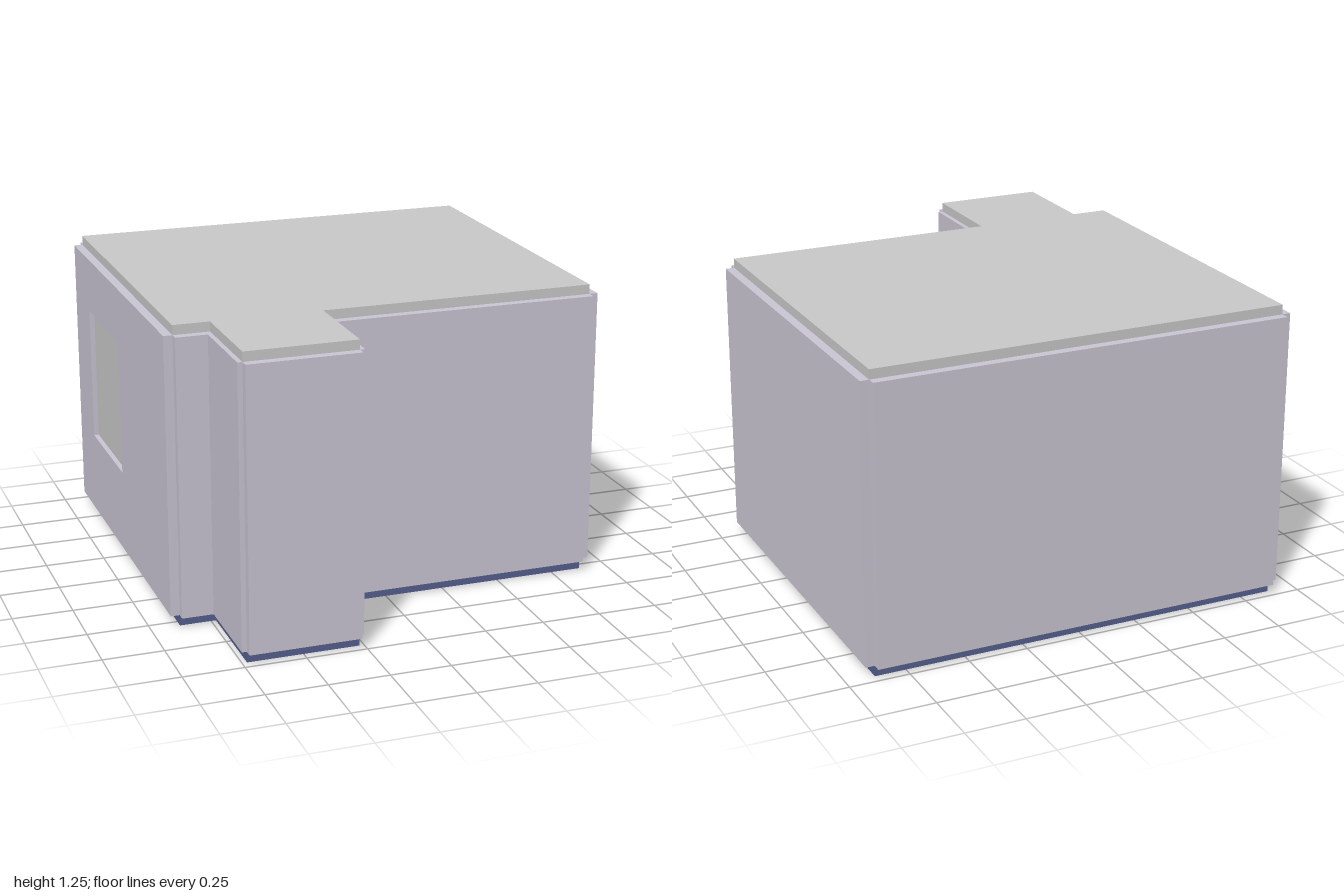
import * as THREE from 'three';

const W = 0.88, BACK = -0.96, FRONT = 0.54;       // main room
const BAY_L = -0.73, BAY_R = -0.27, BAY_Z = 0.96; // projecting bay
const Y0 = 0.045, Y1 = 1.21, TOP = 1.25;          // wall bottom, wall top, roof top
const T = 0.037;                                  // wall thickness

const wallMat = new THREE.MeshStandardMaterial({ color: 0xcdc8d6 });
const floorMat = new THREE.MeshStandardMaterial({ color: 0x56618f });
const roofMat = new THREE.MeshStandardMaterial({ color: 0xcccccc });

function createMesh(name, geometry, material) {
  const mesh = new THREE.Mesh(geometry, material);
  mesh.name = name;
  return mesh;
}

// Horizontal slab in the shape of the floor plan
function slab(name, y0, y1, material) {
  const plan = [
    [-W, FRONT], [BAY_L, FRONT], [BAY_L, BAY_Z], [BAY_R, BAY_Z],
    [BAY_R, FRONT], [W, FRONT], [W, BACK], [-W, BACK],
  ];
  const shape = new THREE.Shape(plan.map(([x, z]) => new THREE.Vector2(x, -z)));
  const geo = new THREE.ExtrudeGeometry(shape, { depth: y1 - y0, bevelEnabled: false });
  geo.rotateX(-Math.PI / 2).translate(0, y0, 0);
  return createMesh(name, geo, material);
}

// Wall panel filling a rectangle of the plan
function wall(name, x0, x1, z0, z1) {
  const geo = new THREE.BoxGeometry(x1 - x0, Y1 - Y0, z1 - z0);
  geo.translate((x0 + x1) / 2, (Y0 + Y1) / 2, (z0 + z1) / 2);
  return createMesh(name, geo, wallMat);
}

function rectPath(PathType, a0, b0, a1, b1) {
  const p = new PathType();
  p.moveTo(a0, b0);
  p.lineTo(a1, b0);
  p.lineTo(a1, b1);
  p.lineTo(a0, b1);
  p.closePath();
  return p;
}

export function createModel() {
  const model = new THREE.Group();
  model.name = 'room';

  model.add(slab('floor', 0, Y0, floorMat), slab('roof', Y1, TOP, roofMat));

  // Plain panels stand outside the slabs, leaving the corners notched
  model.add(
    wall('backWall', -W, W, BACK - T, BACK),
    wall('leftWall', W, W + T, BACK, FRONT),
    wall('frontWallLong', BAY_R, W, FRONT, FRONT + T),
    wall('frontWallShort', -W, BAY_L, FRONT, FRONT + T),
    wall('bayLeftWall', BAY_R, BAY_R + 0.02, FRONT, BAY_Z),
    wall('bayRightWall', BAY_L - 0.02, BAY_L, FRONT, BAY_Z),
    wall('bayFrontWall', BAY_L, BAY_R, BAY_Z, BAY_Z + T),
  );

  // Right wall with a window opening, drawn in (z, y) and turned to face -x
  const win = { z0: -0.71, z1: -0.2, y0: 0.4, y1: 0.975 };
  const panel = rectPath(THREE.Shape, BACK, Y0, FRONT, Y1);
  panel.holes.push(rectPath(THREE.Path, win.z0, win.y0, win.z1, win.y1));
  const wallGeo = new THREE.ExtrudeGeometry(panel, { depth: T, bevelEnabled: false });
  wallGeo.rotateY(-Math.PI / 2).translate(-W, 0, 0);
  model.add(createMesh('windowWall', wallGeo, wallMat));

  // Recessed window pane
  const paneGeo = new THREE.BoxGeometry(0.012, win.y1 - win.y0, win.z1 - win.z0);
  paneGeo.translate(-W - 0.01, (win.y0 + win.y1) / 2, (win.z0 + win.z1) / 2);
  model.add(createMesh('windowPane', paneGeo, roofMat));

  return model;
}
